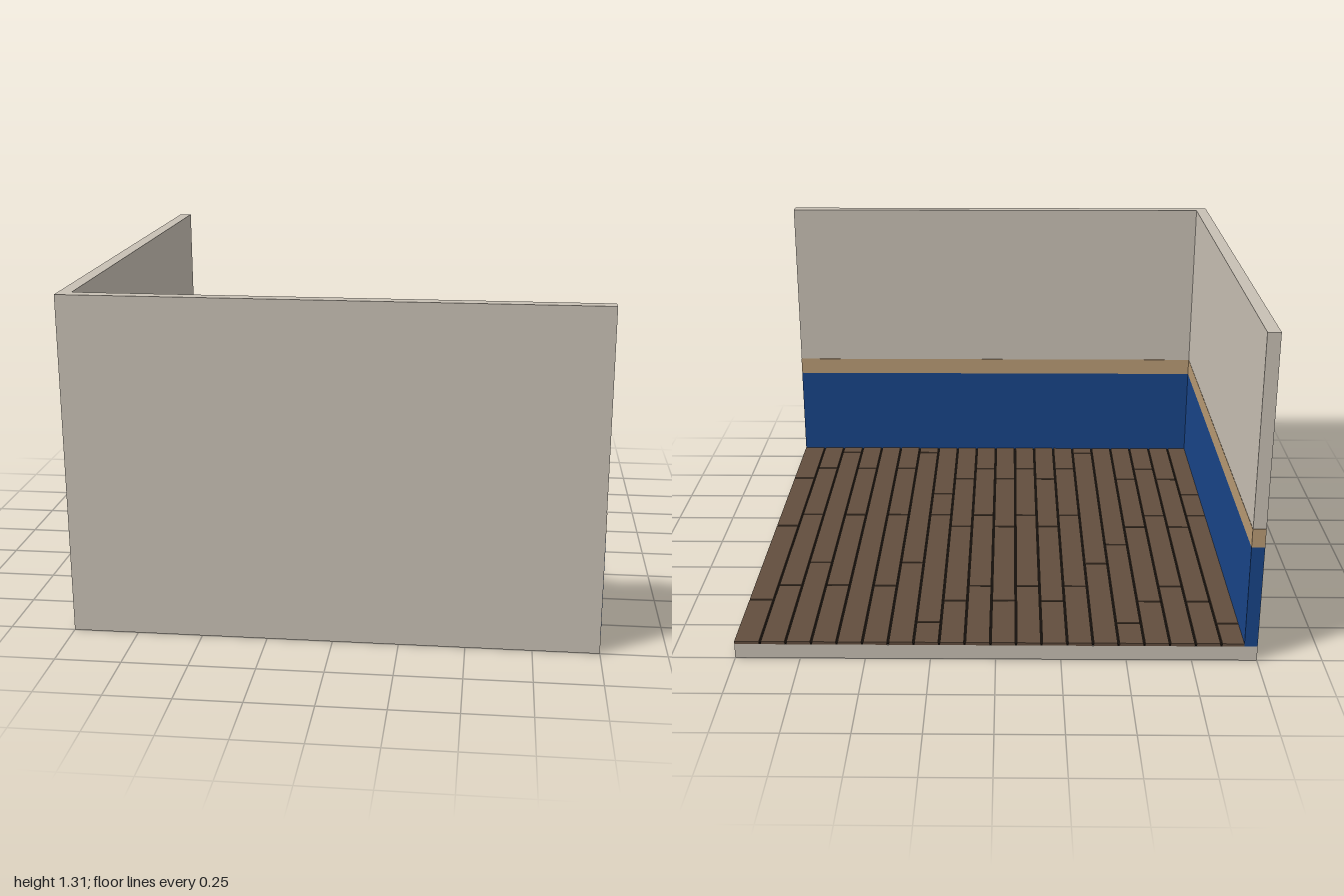
import * as THREE from 'three';

const SLAB = 0.06, TOP = 1.315, WALL = 0.05, SKIN = 0.001;

const paint = color => new THREE.MeshStandardMaterial({ color });

function addBox(parent, name, material, x0, x1, y0, y1, z0, z1) {
  const mesh = new THREE.Mesh(new THREE.BoxGeometry(x1 - x0, y1 - y0, z1 - z0), material);
  mesh.position.set((x0 + x1) / 2, (y0 + y1) / 2, (z0 + z1) / 2);
  mesh.name = name;
  parent.add(mesh);
}

// L-shaped wall course along x = -1 and z = +1, between two heights
function addCourse(parent, name, material, y0, y1, outer, inner, end) {
  const outline = [[-outer, -end], [-inner, -end], [-inner, inner], [end, inner], [end, outer], [-outer, outer]];
  const shape = new THREE.Shape(outline.map(([x, z]) => new THREE.Vector2(x, -z)));
  const geometry = new THREE.ExtrudeGeometry(shape, { depth: y1 - y0, bevelEnabled: false });
  geometry.rotateX(-Math.PI / 2);
  const mesh = new THREE.Mesh(geometry, material);
  mesh.position.y = y0;
  mesh.name = name;
  parent.add(mesh);
}

export function createModel() {
  const room = new THREE.Group();
  room.name = 'room';
  const plaster = paint(0xc8c0b4), blue = paint(0x184488), tan = paint(0xb89a74);
  const wood = paint(0x624e3e), dark = paint(0x15100c);

  addBox(room, 'floorSlab', plaster, -1, 1, 0, SLAB, -1, 1);

  // Walls, with painted bands on the inner faces and exposed ends only
  const walls = new THREE.Group();
  walls.name = 'walls';
  room.add(walls);
  const inner = 1 - WALL;
  addCourse(walls, 'plasterWalls', plaster, SLAB, TOP, 1, inner, 1 - SKIN);
  addCourse(walls, 'blueWainscot', blue, SLAB, 0.48, 1 - SKIN, inner - SKIN, 1);
  addCourse(walls, 'tanRail', tan, 0.48, 0.555, 1 - SKIN, inner - SKIN, 1);

  // Floorboards: each column takes one of a few staggered joint patterns
  const floor = new THREE.Group();
  floor.name = 'floorboards';
  room.add(floor);
  addBox(floor, 'seamBase', dark, -inner, 1 - SKIN, SLAB, SLAB + 0.006, -1 + SKIN, inner);
  const joints = {
    A: [-0.845, 0.14, 0.375],
    B: [-0.67, 0.02, 0.555],
    C: [-0.545, 0.14, 0.68],
    D: [-0.34, 0.885],
    E: [-0.845, -0.16],
    F: [],
  };
  const pitch = 0.098, half = 0.004;
  [...'ABCBEDCBCBCBADCFCDCB'].forEach((pattern, i) => {
    const right = 1 - (19 - i) * pitch;
    const x0 = Math.max(right - pitch + half, -inner);
    const x1 = i === 19 ? 1 : right - half;
    const stops = [-1, ...joints[pattern], inner];
    for (let k = 0; k < stops.length - 1; k++) {
      const z0 = stops[k] + (k ? half : 0);
      const z1 = stops[k + 1] - (k < stops.length - 2 ? half : 0);
      addBox(floor, 'plank', wood, x0, x1, SLAB, 0.072, z0, z1);
    }
  });
  return room;
}
